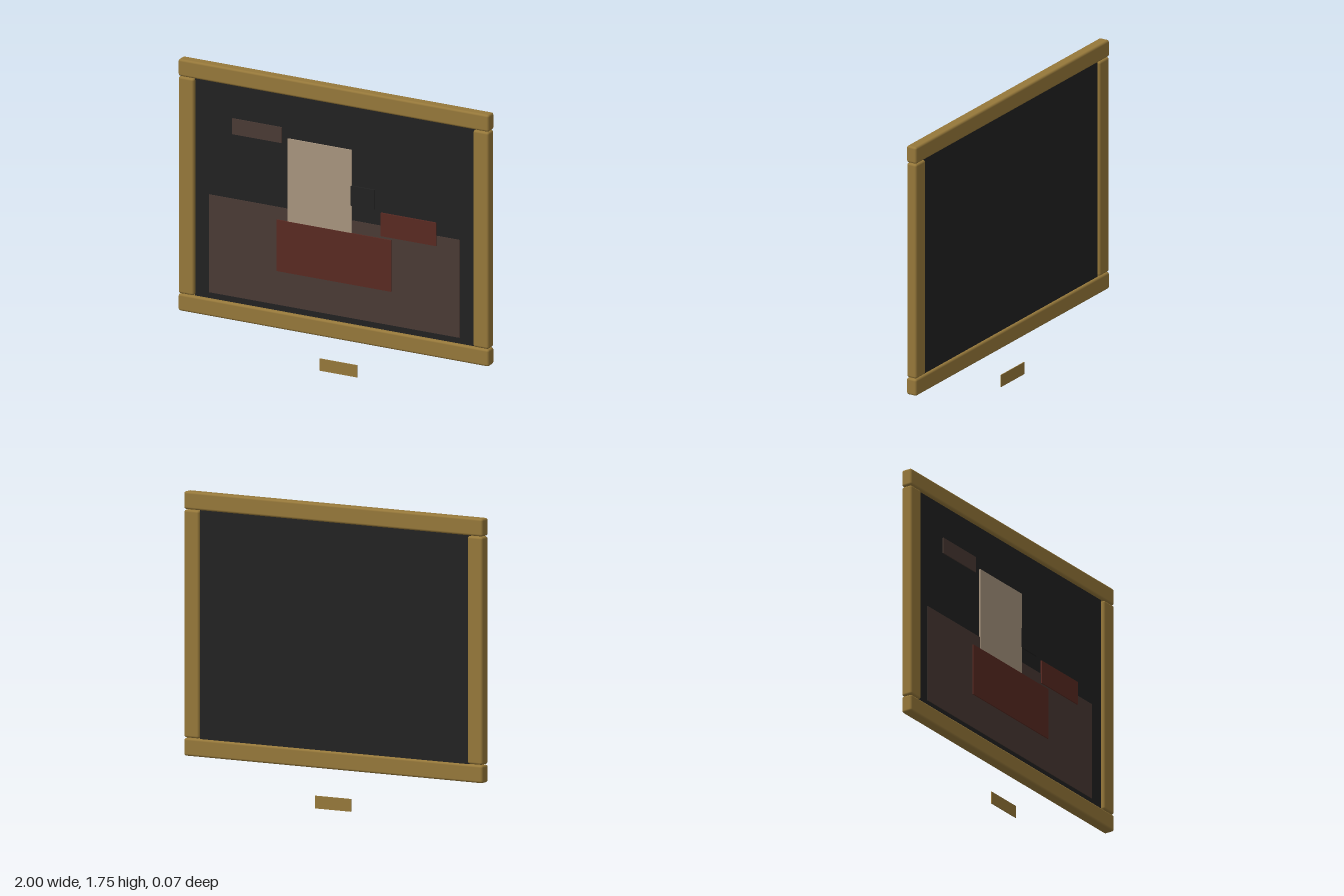
import * as THREE from 'three';
import { RoundedBoxGeometry } from 'three/addons/geometries/RoundedBoxGeometry.js';

const material = (name, color) => {
  const m = new THREE.MeshStandardMaterial({ color });
  m.name = name;
  return m;
};

export function createModel() {
  const group = new THREE.Group();
  group.name = 'framedPainting';

  const gold = material('gold', 0x96783a);
  const black = material('black', 0x222222);
  const brown = material('brown', 0x4a3a34);
  const red = material('red', 0x5a2a22);
  const cream = material('cream', 0xa8957f);

  const add = (name, geometry, mat, x, y, z) => {
    const mesh = new THREE.Mesh(geometry, mat);
    mesh.name = name;
    mesh.position.set(x, y, z);
    group.add(mesh);
  };

  // Box given by its edges in x and y, and its back and front in z
  const plate = (name, mat, x0, x1, y0, y1, z0, z1) =>
    add(name, new THREE.BoxGeometry(x1 - x0, y1 - y0, z1 - z0), mat,
      (x0 + x1) / 2, (y0 + y1) / 2, (z0 + z1) / 2);

  // Frame: four bars with softened edges
  const depth = 0.067;
  const bar = (name, w, h, x, y) =>
    add(name, new RoundedBoxGeometry(w, h, depth, 2, 0.013), gold, x, y, 0);
  bar('topBar', 2, 0.102, 0, 1.699);
  bar('bottomBar', 2, 0.102, 0, 0.283);
  bar('leftBar', 0.1, 1.308, 0.949, 0.991);
  bar('rightBar', 0.1, 1.308, -0.949, 0.991);

  // Canvas, slightly recessed on both sides
  plate('canvas', black, -0.9, 0.9, 0.333, 1.649, -0.018, 0.012);

  // Painted blocks, layered on the front of the canvas
  plate('ground', brown, -0.81, 0.805, 0.37, 0.96, 0.012, 0.016);
  plate('upperBlock', brown, -0.66, -0.34, 1.35, 1.445, 0.012, 0.018);
  plate('figure', cream, -0.3, 0.11, 0.87, 1.385, 0.012, 0.02);
  plate('figureBase', red, -0.37, 0.365, 0.575, 0.885, 0.014, 0.023);
  plate('sideBlock', red, 0.3, 0.655, 0.9, 1.04, 0.014, 0.023);
  plate('darkBlock', black, 0.105, 0.255, 1.05, 1.17, 0.012, 0.021);

  // Name plate hanging below the frame
  plate('namePlate', gold, -0.12, 0.12, 0, 0.073, -0.033, -0.028);

  return group;
}
